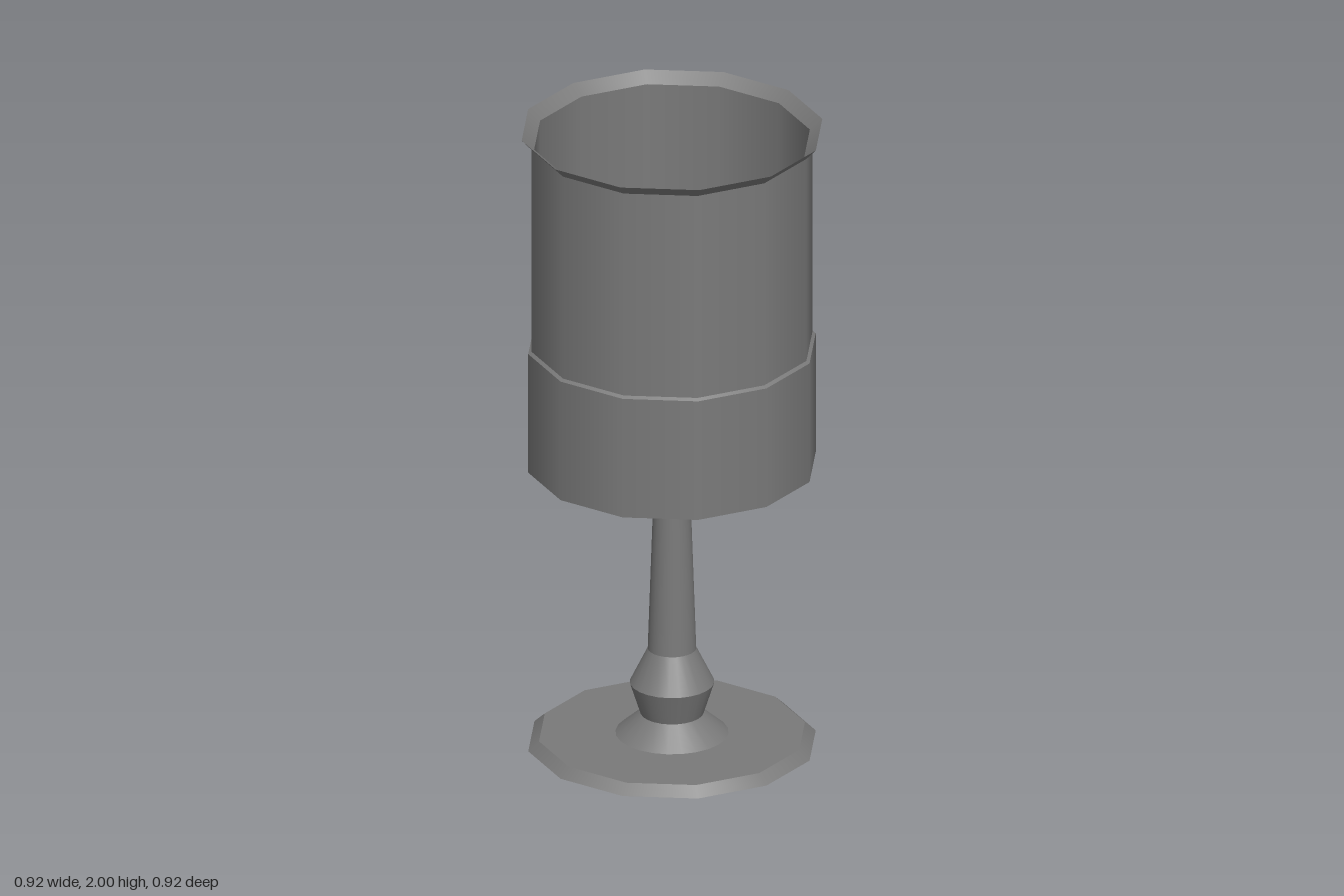
import * as THREE from 'three';
import { mergeGeometries } from 'three/addons/utils/BufferGeometryUtils.js';

const material = new THREE.MeshStandardMaterial({ color: 0x7a7a7a });

// Turns a [radius, height] profile: smooth around, sharp at every profile point
function turned(name, sides, profile) {
  const rings = [];
  for (let i = 0; i < profile.length - 1; i++) {
    const points = [profile[i], profile[i + 1]].map(([r, y]) => new THREE.Vector2(r, y));
    rings.push(new THREE.LatheGeometry(points, sides));
  }
  const mesh = new THREE.Mesh(mergeGeometries(rings), material);
  mesh.name = name;
  return mesh;
}

export function createModel() {
  const goblet = new THREE.Group();
  goblet.name = 'goblet';

  // Flat foot with a bevelled edge, its top running in under the collar
  goblet.add(turned('foot', 12, [[0, 0], [0.438, 0], [0.405, 0.03], [0.155, 0.03]]));

  // Collar, knop, tapered stem and the flare below the bowl, rounder than the bowl
  goblet.add(turned('stem', 24, [
    [0.17, 0.03], [0.095, 0.095], [0.127, 0.195], [0.073, 0.305], [0.056, 0.8], [0.145, 0.874],
  ]));

  // Shallow underside of the bowl and the thicker lower band
  goblet.add(turned('lowerBowl', 12, [
    [0.13, 0.872], [0.438, 0.912], [0.438, 1.3], [0.428, 1.307],
  ]));

  // Thin upper wall, flared lip, inner wall and inner floor
  goblet.add(turned('upperBowl', 12, [
    [0.428, 1.307], [0.428, 1.968], [0.458, 2], [0.42, 1.968], [0.42, 0.93], [0, 0.93],
  ]));

  return goblet;
}
